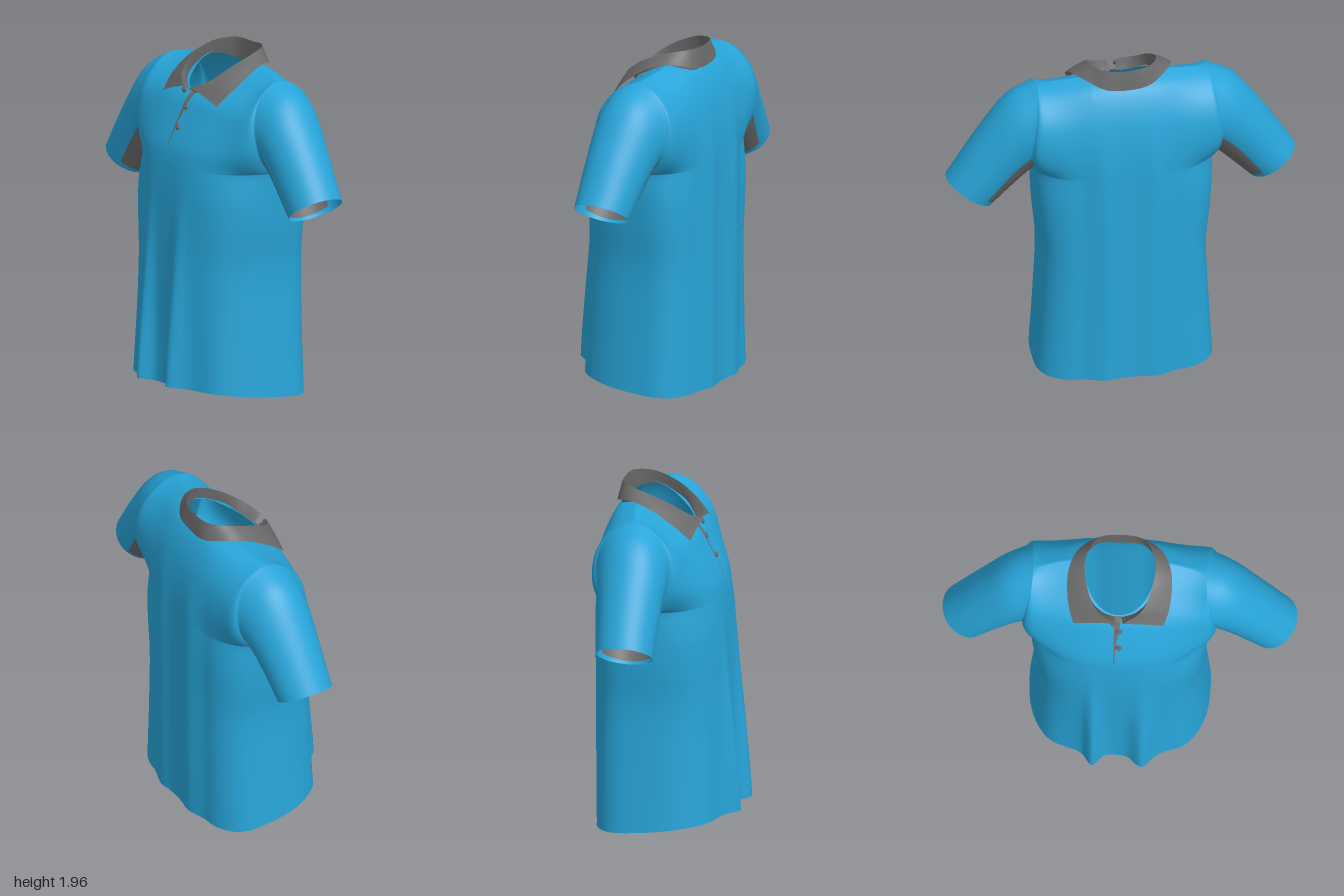
import * as THREE from 'three';
import { mergeGeometries, mergeVertices } from 'three/addons/utils/BufferGeometryUtils.js';

const blue = new THREE.MeshStandardMaterial({ color: 0x27a4d8, side: THREE.DoubleSide });
const grey = new THREE.MeshStandardMaterial({ color: 0x6a6a6a, side: THREE.DoubleSide });

// Smooth curve through [key, value] pairs
const profile = (pts) => (k) => {
  const n = pts.length;
  const slope = (i) => {
    const a = pts[Math.max(0, i - 1)], b = pts[Math.min(n - 1, i + 1)];
    return (b[1] - a[1]) / (b[0] - a[0]);
  };
  k = Math.min(Math.max(k, pts[0][0]), pts[n - 1][0]);
  let i = 0;
  while (i < n - 2 && k > pts[i + 1][0]) i++;
  const h = pts[i + 1][0] - pts[i][0], t = (k - pts[i][0]) / h, t2 = t * t, t3 = t2 * t;
  return (2 * t3 - 3 * t2 + 1) * pts[i][1] + (t3 - 2 * t2 + t) * h * slope(i)
    + (3 * t2 - 2 * t3) * pts[i + 1][1] + (t3 - t2) * h * slope(i + 1);
};

// Grid surface from fn(i, j) over integer ranges
function grid(fn, i0, i1, j0, j1, flip = false) {
  const pos = [], idx = [], w = i1 - i0 + 1;
  for (let j = j0; j <= j1; j++) for (let i = i0; i <= i1; i++) pos.push(...fn(i, j));
  for (let j = 0; j < j1 - j0; j++) for (let i = 0; i < w - 1; i++) {
    const a = j * w + i, b = a + 1, c = b + w, d = a + w;
    idx.push(...(flip ? [a, c, b, a, d, c] : [a, b, c, a, c, d]));
  }
  const g = new THREE.BufferGeometry();
  g.setAttribute('position', new THREE.Float32BufferAttribute(pos, 3));
  g.setIndex(idx);
  return g;
}

// Torso measurements
const ARMPIT = 1.32, TIP = 1.84, NECK = 0.2, NECK_Y = 1.885, ZC = -0.12, ARM_DEPTH = 0.21;
const halfWidth = profile([[0, 0.512], [0.4, 0.487], [0.75, 0.475], [1, 0.498], [ARMPIT, 0.52],
  [1.45, 0.545], [1.6, 0.535], [TIP, 0.49]]);
const frontZ = profile([[0, 0.345], [0.4, 0.335], [0.8, 0.33], [1.2, 0.315], [1.4, 0.29], [1.5, 0.252],
  [1.6, 0.205], [1.7, 0.155], [1.8, 0.035], [1.85, -0.035], [NECK_Y, ZC]]);
const backZ = profile([[0, -0.405], [1.35, -0.41], [1.5, -0.4], [1.6, -0.38], [1.7, -0.345],
  [1.8, -0.28], [1.85, -0.22], [NECK_Y, ZC]]);
const bump = (x, c, w) => Math.exp(-(((x - c) / w) ** 2));
const { lerp, smoothstep } = THREE.MathUtils;

// Depth of the cloth at (x, y); face is 1 for the front, -1 for the back
function clothZ(x, y, face) {
  const W = halfWidth(y), ax = Math.abs(x), r = Math.min(1, ax / W);
  const q = Math.max(0, (ax - NECK) / (W - NECK));
  const rise = Math.max(0, (y - ARMPIT) / (NECK_Y - 0.045 * q - ARMPIT));
  const yd = rise > 0 ? ARMPIT + rise * (NECK_Y - ARMPIT) : y;
  const n = face > 0 ? 2.7 : 3;
  const p = lerp(1 / n, 0.7, smoothstep(y, 1.1, 1.6));
  const fall = Math.max(0, 1 - r ** n) ** p;
  // Armhole depth, dying away smoothly towards the chest
  const open = Math.sqrt(Math.max(0, 1 - (2 * rise - 1) ** 2));
  const arm = face * ARM_DEPTH * open ** (1 + 4 * (1 - r)) * r ** 4;
  // The shoulder line leans back towards the neck
  const lean = -0.06 * rise ** 3 * (1 - r * r);
  // Hanging folds, fading upwards
  const loose = 1 - smoothstep(y, 0, 1.35);
  const fold = face > 0
    ? loose * (0.08 * bump(ax, 0.14, x < 0 ? 0.045 : 0.06) + 0.02 * bump(ax, 0.4, 0.07))
    : -0.015 * (1 - smoothstep(y, 1.2, 1.75)) * (bump(ax, 0.14, 0.06) - 0.6 * bump(ax, 0.27, 0.05));
  return ZC + ((face > 0 ? frontZ : backZ)(yd) - ZC + fold) * fall + arm + lean;
}

// Quarter of the torso: columns run from the centre to the side, rows from hem to shoulder
const NC = 14, SC = 22, LOW = 32, HIGH = 20;
function torsoQuarter(side, face) {
  const point = (i, j) => {
    const inNeck = i <= NC;
    const nx = NECK * Math.sin((Math.min(i, NC) / NC) * Math.PI / 2);
    const q = inNeck ? 0 : 1 - (1 - (i - NC) / SC) ** 2;
    const xAt = (y) => (inNeck ? nx : NECK + (halfWidth(y) - NECK) * q);
    const dip = (face > 0 ? 0.16 : 0.045) * Math.sqrt(Math.max(0, 1 - (nx / NECK) ** 2));
    const top = inNeck ? NECK_Y - dip : NECK_Y - 0.045 * q;
    const hem = 0.08 * Math.max(0, (clothZ(side * xAt(0), 0, face) + 0.42) / 0.84) ** 1.4;
    const y = j <= LOW ? hem + (ARMPIT - hem) * (j / LOW)
      : ARMPIT + (top - ARMPIT) * (1 - Math.cos(((j - LOW) / HIGH) * Math.PI)) / 2;
    const x = side * xAt(y);
    return [x, y, clothZ(x, y, face)];
  };
  return grid(point, 0, NC + SC, 0, LOW + HIGH, side * face < 0);
}

// Sleeve rings run from the armhole to the cuff
const SR = 16;
const sleeveTop = new THREE.CatmullRomCurve3([[0.49, TIP], [0.64, 1.765], [0.8, 1.565], [1, 1.255]]
  .map(([x, y]) => new THREE.Vector3(x, y, 0)));
function sleevePoint(side) {
  return (i, j) => {
    const s = j / SR, a = (i / (2 * HIGH)) * Math.PI * 2, c = Math.cos(a);
    const t = sleeveTop.getPoint(s);
    const bx = 0.52 + 0.22 * s, by = ARMPIT - 0.235 * s;
    const seam = halfWidth(1.58 + 0.26 * c) - (0.505 - 0.015 * c);
    const x = (t.x + bx) / 2 + ((t.x - bx) / 2) * c + seam * (1 - s) ** 2;
    const y = (t.y + by) / 2 + ((t.y - by) / 2) * c;
    return [side * x, y, ZC + 0.03 * s + lerp(ARM_DEPTH, 0.16, s) * Math.sin(a)];
  };
}

// Collar edges, from the front end to the centre back, then mirrored
function collarCurve(pts) {
  const half = pts.map((p) => new THREE.Vector3(...p));
  const other = half.slice(0, -1).reverse().map((p) => new THREE.Vector3(-p.x, p.y, p.z));
  return new THREE.CatmullRomCurve3([...half, ...other]);
}
const collarBase = collarCurve([[0.015, 1.715, 0.115], [0.1, 1.735, 0.09], [0.185, 1.8, 0.01],
  [0.205, 1.868, -0.165], [0.13, 1.842, -0.272], [0, 1.828, -0.285]]);
const collarFold = collarCurve([[0.025, 1.755, 0.172], [0.125, 1.8, 0.115], [0.185, 1.885, -0.01],
  [0.195, 1.942, -0.15], [0.13, 1.962, -0.262], [0, 1.957, -0.288]]);
const collarEdge = collarCurve([[0.255, 1.685, 0.15], [0.287, 1.772, 0.06], [0.29, 1.875, -0.1],
  [0.24, 1.893, -0.215], [0.13, 1.86, -0.3], [0, 1.843, -0.307]]);

function strip(from, to, bulge) {
  const g = grid((i, j) => {
    const p = from.getPoint(i / 80).lerp(to.getPoint(i / 80), j / 6);
    p.y += bulge * Math.sin((j / 6) * Math.PI);
    return p.toArray();
  }, 0, 80, 0, 6);
  g.computeVertexNormals();
  return g;
}

export function createModel() {
  const model = new THREE.Group();
  const add = (name, geometry, material) => {
    const mesh = new THREE.Mesh(geometry, material);
    mesh.name = name;
    model.add(mesh);
    return mesh;
  };

  // Cloth shell: normals are shared over the seams, then split into parts
  const parts = [];
  for (const [side, label] of [[1, 'left'], [-1, 'right']]) {
    const sp = sleevePoint(side), flip = side < 0;
    parts.push([label + 'FrontPanel', [torsoQuarter(side, 1)], blue]);
    parts.push([label + 'BackPanel', [torsoQuarter(side, -1)], blue]);
    parts.push([label + 'Sleeve', [grid(sp, -13, 13, 0, SR, flip), grid(sp, 13, 27, SR - 1, SR, flip)], blue]);
    parts.push([label + 'UnderarmPanel', [grid(sp, 13, 27, 0, SR - 1, flip)], grey]);
  }
  const shell = mergeVertices(mergeGeometries(parts.flatMap((p) => p[1])), 1e-4);
  shell.computeVertexNormals();
  let start = 0;
  for (const [name, geos, material] of parts) {
    const count = geos.reduce((n, g) => n + g.index.count, 0);
    const piece = shell.clone();
    piece.setIndex(Array.from(shell.index.array.slice(start, start + count)));
    add(name, piece.toNonIndexed(), material);
    start += count;
  }

  // Collar
  add('collarStand', strip(collarBase, collarFold, 0), grey);
  add('collarFall', strip(collarFold, collarEdge, 0.008), grey);

  // Placket: a narrow wedge widening towards the neck
  const placket = grid((i, j) => {
    const v = j / 14, y = 1.42 + 0.305 * v, x = -0.024 + (0.006 + 0.036 * v * v) * (i / 2);
    return [x, y, clothZ(x, y, 1) + 0.005];
  }, 0, 2, 0, 14);
  placket.computeVertexNormals();
  add('placket', placket, grey);

  // Buttons
  for (const [x, y, z] of [[-0.028, 1.738, 0.168], [0.004, 1.645], [0.004, 1.535]]) {
    const button = add('button', new THREE.CylinderGeometry(0.014, 0.018, 0.012, 20), grey);
    button.position.set(x, y, z ?? clothZ(x, y, 1) + 0.006);
    button.rotation.x = Math.PI / 2 - 0.5;
  }
  return model;
}
